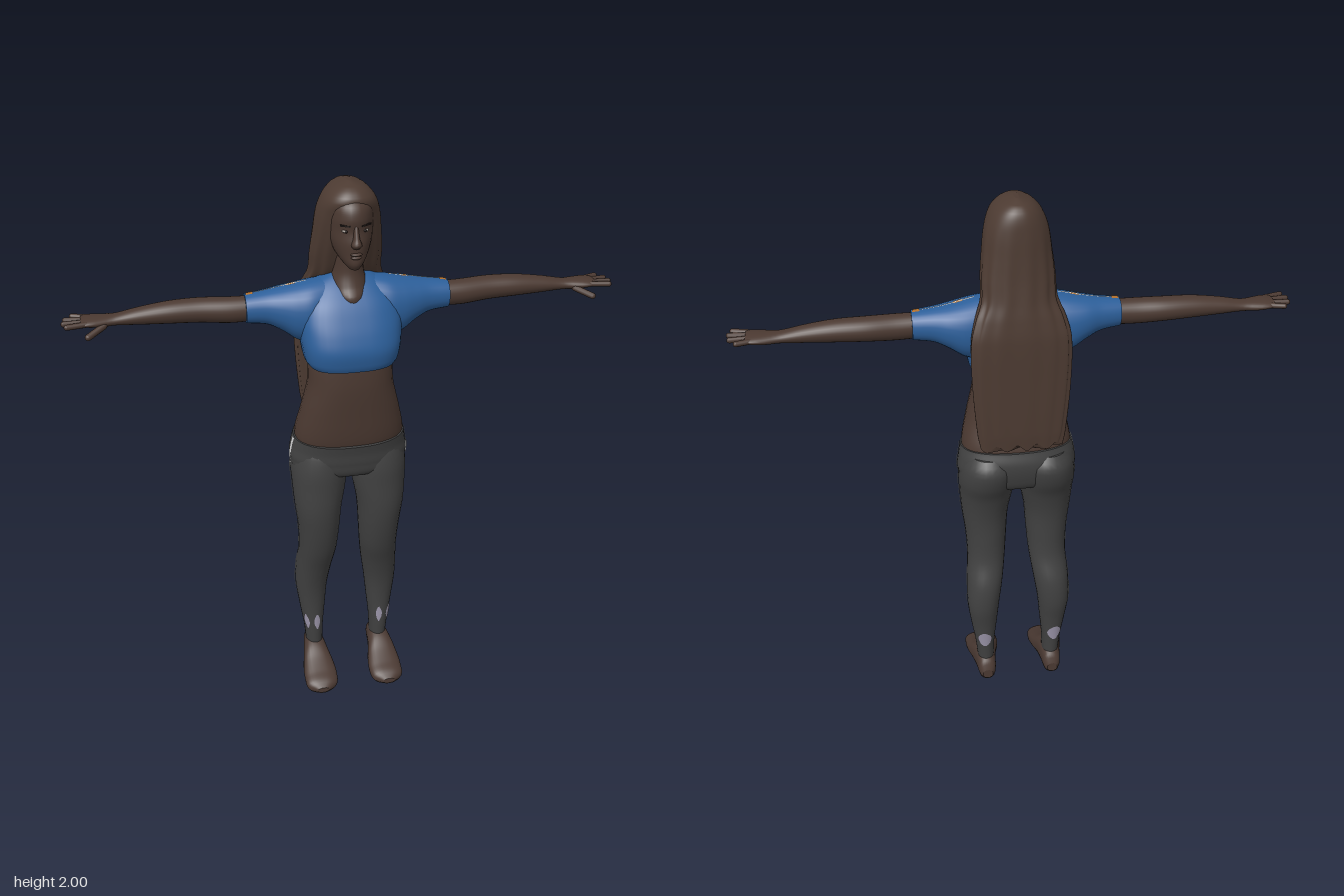
import * as THREE from 'three';

const mat = (name, color, side = THREE.FrontSide) => {
  const m = new THREE.MeshStandardMaterial({ color, side });
  m.name = name;
  return m;
};

// Smooth interpolation of a section table at station t
function sample(S, t) {
  let i = 0;
  while (i < S.length - 2 && t > S[i + 1][0]) i++;
  const h = S[i + 1][0] - S[i][0], u = (t - S[i][0]) / h;
  const slope = (j, k) => {
    const a = S[Math.max(j - 1, 0)], b = S[Math.min(j + 1, S.length - 1)];
    return (b[k] - a[k]) / (b[0] - a[0]);
  };
  return [1, 2, 3, 4].map(k => {
    const u2 = u * u, u3 = u2 * u;
    return (2 * u3 - 3 * u2 + 1) * S[i][k] + (u3 - 2 * u2 + u) * h * slope(i, k)
      + (3 * u2 - 2 * u3) * S[i + 1][k] + (u3 - u2) * h * slope(i + 1, k);
  });
}

// Loft through sections [t, a0, a1, b0, b1]; axis y: a=x b=z, axis x: a=z b=y, axis z: a=y b=x.
// An arc [from, to] makes a thin strip lying on that part of the surface.
function loft(axis, S, { n = 28, steps = 36, e = 2, arc, range, grow = 0, taper, ripple, move } = {}) {
  const [ia, ib, it] = { y: [0, 2, 1], x: [2, 1, 0], z: [1, 0, 2] }[axis];
  const [t0, t1] = range || [S[0][0], S[S.length - 1][0]];
  const pos = [], idx = [], cols = arc ? n + 1 : n;
  const pow = v => Math.sign(v) * Math.abs(v) ** (2 / e);
  const put = (t, a, b) => {
    const p = new THREE.Vector3().setComponent(it, t).setComponent(ia, a).setComponent(ib, b);
    if (move) move(p);
    pos.push(p.x, p.y, p.z);
  };
  const ring = (t, s) => {
    const [a0, a1, b0, b1] = sample(S, t);
    for (let j = 0; j < cols; j++) {
      let th = j / n * Math.PI * 2;
      if (arc) {
        const w = taper ? Math.sin(Math.PI * (0.06 + 0.88 * s)) : 1;
        th = (arc[0] + arc[1]) / 2 + (j / n - 0.5) * (arc[1] - arc[0]) * w;
      }
      const k = 1 + (ripple ? ripple(th, t) : 0);
      put(t, (a0 + a1) / 2 + pow(Math.cos(th)) * ((a1 - a0) / 2 * k + grow),
        (b0 + b1) / 2 + pow(Math.sin(th)) * ((b1 - b0) / 2 * k + grow));
    }
    return [(a0 + a1) / 2, (b0 + b1) / 2];
  };
  for (let i = 0; i <= steps; i++) ring(t0 + (t1 - t0) * i / steps, i / steps);
  for (let i = 0; i < steps; i++) for (let j = 0; j < n; j++) {
    const a = i * cols + j, b = i * cols + (j + 1) % cols;
    idx.push(a, a + cols, b, b, a + cols, b + cols);
  }
  if (!arc) [t0, t1].forEach((t, end) => {
    const base = pos.length / 3, c = ring(t, end);
    put(t, c[0], c[1]);
    for (let j = 0; j < n; j++) {
      const a = base + j, b = base + (j + 1) % n;
      idx.push(base + n, ...(end ? [b, a] : [a, b]));
    }
  });
  const g = new THREE.BufferGeometry();
  g.setAttribute('position', new THREE.Float32BufferAttribute(pos, 3));
  g.setIndex(idx);
  g.computeVertexNormals();
  return g;
}

function mirrored(geo) {
  const g = geo.clone(), p = g.attributes.position, nn = g.attributes.normal, ix = g.index.array;
  for (let i = 0; i < p.count; i++) { p.setX(i, -p.getX(i)); nn.setX(i, -nn.getX(i)); }
  for (let i = 0; i < ix.length; i += 3) [ix[i], ix[i + 1]] = [ix[i + 1], ix[i]];
  return g;
}

function capsule(from, to, r) {
  const a = new THREE.Vector3(...from), b = new THREE.Vector3(...to), d = b.clone().sub(a);
  const g = new THREE.CapsuleGeometry(r, d.length(), 4, 10);
  g.applyQuaternion(new THREE.Quaternion().setFromUnitVectors(new THREE.Vector3(0, 1, 0), d.normalize()));
  return g.translate(...a.add(b).multiplyScalar(0.5).toArray());
}

const ball = (r, s, p) => new THREE.SphereGeometry(r, 16, 12).scale(...s).translate(...p);
const sym = rows => rows.map(([y, x, z0, z1]) => [y, -x, x, z0, z1]);

export function createModel() {
  const group = new THREE.Group();
  const skin = mat('skin', 0x4b3931), hair = mat('hair', 0x4d3b32), shirt = mat('shirt', 0x2c5f9a);
  const pants = mat('leggings', 0x414141), shoe = mat('shoe', 0x4b3a33), sole = mat('sole', 0x3b3837, THREE.DoubleSide);
  const stripe = mat('pale stripe', 0xcfcfd0, THREE.DoubleSide), patch = mat('lavender patch', 0x9a94a8, THREE.DoubleSide);
  const orange = mat('orange seam', 0xb5722f, THREE.DoubleSide), dark = mat('dark eye', 0x1e1715);
  const add = (name, geo, m) => {
    const mesh = new THREE.Mesh(geo, m);
    mesh.name = name;
    group.add(mesh);
  };
  const pair = (name, geo, m) => { add('left ' + name, geo, m); add('right ' + name, mirrored(geo), m); };

  // Head, neck and face
  add('head', loft('y', sym([[1.732, 0.018, 0.06, 0.118], [1.75, 0.036, 0, 0.13], [1.78, 0.056, -0.05, 0.13],
    [1.82, 0.07, -0.08, 0.131], [1.86, 0.075, -0.09, 0.126], [1.9, 0.075, -0.09, 0.13],
    [1.94, 0.068, -0.07, 0.116], [1.97, 0.035, -0.03, 0.08]])), skin);
  add('neck', loft('y', sym([[1.56, 0.03, -0.06, 0.085], [1.62, 0.055, -0.07, 0.09], [1.65, 0.062, -0.07, 0.07],
    [1.7, 0.052, -0.07, 0.056], [1.78, 0.05, -0.07, 0.06]])), skin);
  add('nose', loft('y', sym([[1.808, 0.012, 0.11, 0.138], [1.82, 0.018, 0.11, 0.153], [1.84, 0.011, 0.11, 0.145],
    [1.88, 0.008, 0.1, 0.129]]), { n: 14, steps: 12 }), skin);
  add('upper lip', ball(0.02, [1, 0.28, 0.5], [0, 1.788, 0.128]), skin);
  add('lower lip', ball(0.018, [1, 0.34, 0.5], [0, 1.777, 0.127]), skin);
  pair('eye', ball(0.013, [1, 0.45, 0.9], [0.031, 1.862, 0.107]), mat('eye white', 0x8d847c));
  pair('iris', ball(0.005, [1, 1, 0.6], [0.031, 1.862, 0.117]), dark);
  pair('eyebrow', new THREE.BoxGeometry(0.034, 0.005, 0.006).rotateY(0.42).rotateZ(0.06).translate(0.034, 1.881, 0.117), dark);

  // Long hair: full around the skull, thin curtain down the back
  add('hair', loft('y', sym([[1.145, 0.14, -0.15, -0.126], [1.2, 0.15, -0.153, -0.118], [1.4, 0.165, -0.152, -0.108],
    [1.55, 0.165, -0.15, -0.09], [1.62, 0.148, -0.142, -0.055], [1.68, 0.125, -0.132, -0.005],
    [1.75, 0.122, -0.122, 0.03], [1.82, 0.115, -0.115, 0.06], [1.9, 0.104, -0.108, 0.088],
    [1.95, 0.085, -0.1, 0.106], [1.98, 0.058, -0.085, 0.085], [1.995, 0.03, -0.06, 0.055], [2, 0.008, -0.03, 0.025]]), {
    n: 96, steps: 90, e: 2.3,
    ripple: (th, y) => 0.025 * Math.sin(13 * th + y * 3) * THREE.MathUtils.clamp((1.93 - y) * 4, 0, 1),
    move: p => { if (p.y < 1.2) p.y += 0.012 * Math.sin(p.x * 90) * (1.2 - p.y) / 0.055; },
  }), hair);

  // Midriff and cropped top
  add('midriff', loft('y', sym([[1.04, 0.19, -0.11, 0.105], [1.1, 0.196, -0.115, 0.12], [1.2, 0.175, -0.085, 0.13],
    [1.3, 0.151, -0.075, 0.137], [1.37, 0.146, -0.075, 0.135], [1.42, 0.14, -0.075, 0.13]]), { e: 2.4 }), skin);
  add('top body', loft('y', sym([[1.382, 0.148, -0.085, 0.15], [1.4, 0.16, -0.09, 0.157], [1.45, 0.17, -0.1, 0.162],
    [1.5, 0.175, -0.11, 0.148], [1.55, 0.175, -0.115, 0.125], [1.6, 0.162, -0.115, 0.096],
    [1.64, 0.13, -0.1, 0.062], [1.665, 0.1, -0.08, 0.035], [1.683, 0.06, -0.06, 0.012]]), { n: 40, e: 2.8 }), shirt);
  const sleeve = [[0.06, -0.085, 0.06, 1.48, 1.672], [0.13, -0.098, 0.08, 1.45, 1.664], [0.18, -0.1, 0.075, 1.46, 1.655],
    [0.23, -0.092, 0.06, 1.495, 1.645], [0.28, -0.076, 0.045, 1.52, 1.636], [0.35, -0.062, 0.036, 1.53, 1.627]];
  pair('sleeve', loft('x', sleeve, { e: 2.2 }), shirt);
  const top = Math.PI / 2;
  const seam = (range, w) => loft('x', sleeve, { e: 2.2, range, arc: [top - w, top + w], n: 2, steps: 8, grow: 0.002 });
  pair('shoulder seam', seam([0.14, 0.32], 0.03), stripe);
  pair('shoulder seam end', seam([0.322, 0.346], 0.16), orange);
  pair('shoulder seam mark', seam([0.18, 0.21], 0.07), orange);

  // Arms and hands
  pair('arm', loft('x', [[0.3, -0.055, 0.028, 1.536, 1.62], [0.4, -0.06, 0.028, 1.533, 1.621], [0.5, -0.069, 0.02, 1.54, 1.623],
    [0.6, -0.066, 0.018, 1.545, 1.62], [0.7, -0.058, 0.012, 1.55, 1.607], [0.78, -0.053, 0.008, 1.555, 1.592],
    [0.82, -0.06, 0.018, 1.555, 1.592], [0.86, -0.065, 0.027, 1.56, 1.592], [0.888, -0.06, 0.024, 1.565, 1.588]]), skin);
  [[0.015, 0.932, 0.03], [-0.006, 0.942, 0], [-0.028, 0.938, -0.034], [-0.05, 0.916, -0.064]].forEach(([z, x, z2], i) =>
    pair('finger ' + (i + 1), capsule([0.87, 1.577, z], [x, 1.578, z2], 0.0095), skin));
  pair('thumb', capsule([0.815, 1.565, 0.01], [0.868, 1.545, 0.047], 0.011), skin);

  // Leggings
  const hips = sym([[0.93, 0.1, -0.08, 0.06], [0.95, 0.19, -0.115, 0.1], [1, 0.214, -0.135, 0.115],
    [1.05, 0.209, -0.14, 0.12], [1.092, 0.201, -0.125, 0.127]]);
  const tilt = p => { if (p.y > 1) p.y -= 0.1 * p.z * (p.y - 1) / 0.09; };
  add('leggings hips', loft('y', hips, { n: 40, e: 2.3, move: tilt }), pants);
  const leg = [[0.12, 0.098, 0.162, -0.1, -0.005], [0.2, 0.095, 0.17, -0.105, 0], [0.3, 0.085, 0.185, -0.115, 0],
    [0.4, 0.075, 0.197, -0.13, 0.01], [0.5, 0.06, 0.195, -0.124, 0.035], [0.6, 0.046, 0.188, -0.092, 0.07],
    [0.7, 0.038, 0.192, -0.086, 0.095], [0.8, 0.03, 0.203, -0.09, 0.11], [0.9, 0.012, 0.21, -0.112, 0.112],
    [0.97, 0.004, 0.212, -0.142, 0.112], [1.04, 0.006, 0.2, -0.152, 0.1], [1.08, 0.03, 0.18, -0.125, 0.08]];
  pair('leg', loft('y', leg, { steps: 50, e: 2.15 }), pants);

  // Broken side stripes and ankle patches
  pair('hip stripe', loft('y', hips, { e: 2.3, move: tilt, range: [0.975, 1.09], arc: [0.03, 0.16], n: 3, steps: 8, grow: 0.003 }), stripe);
  [[0.76, 0.975], [0.69, 0.72], [0.62, 0.65], [0.47, 0.55], [0.32, 0.46], [0.16, 0.2]].forEach((range, i) =>
    pair('leg stripe ' + (i + 1), loft('y', leg, { e: 2.15, range, arc: [-0.09, 0.05], n: 3, steps: 12, grow: 0.003 }), stripe));
  [[0.5, 1.1], [1.5, 2], [-2.1, -0.8]].forEach((arc, i) =>
    pair('ankle patch ' + (i + 1), loft('y', leg, { e: 2.15, range: [0.2, 0.27], arc, n: 8, steps: 8, grow: 0.003, taper: true }), patch));

  // Shoes
  const foot = [[-0.125, 0.045, 0.085, 0.11, 0.15], [-0.11, 0.034, 0.12, 0.098, 0.162], [-0.05, 0.025, 0.142, 0.09, 0.172],
    [0, 0.02, 0.128, 0.082, 0.182], [0.05, 0.012, 0.096, 0.07, 0.192], [0.1, 0.004, 0.07, 0.066, 0.195],
    [0.14, 0.002, 0.053, 0.076, 0.188], [0.162, 0.012, 0.034, 0.11, 0.155]];
  pair('shoe', loft('z', foot, { e: 2.4 }), shoe);
  pair('sole', loft('z', foot, { e: 2.4, arc: [2.3, 3.98], n: 12, grow: 0.002 }), sole);
  return group;
}
